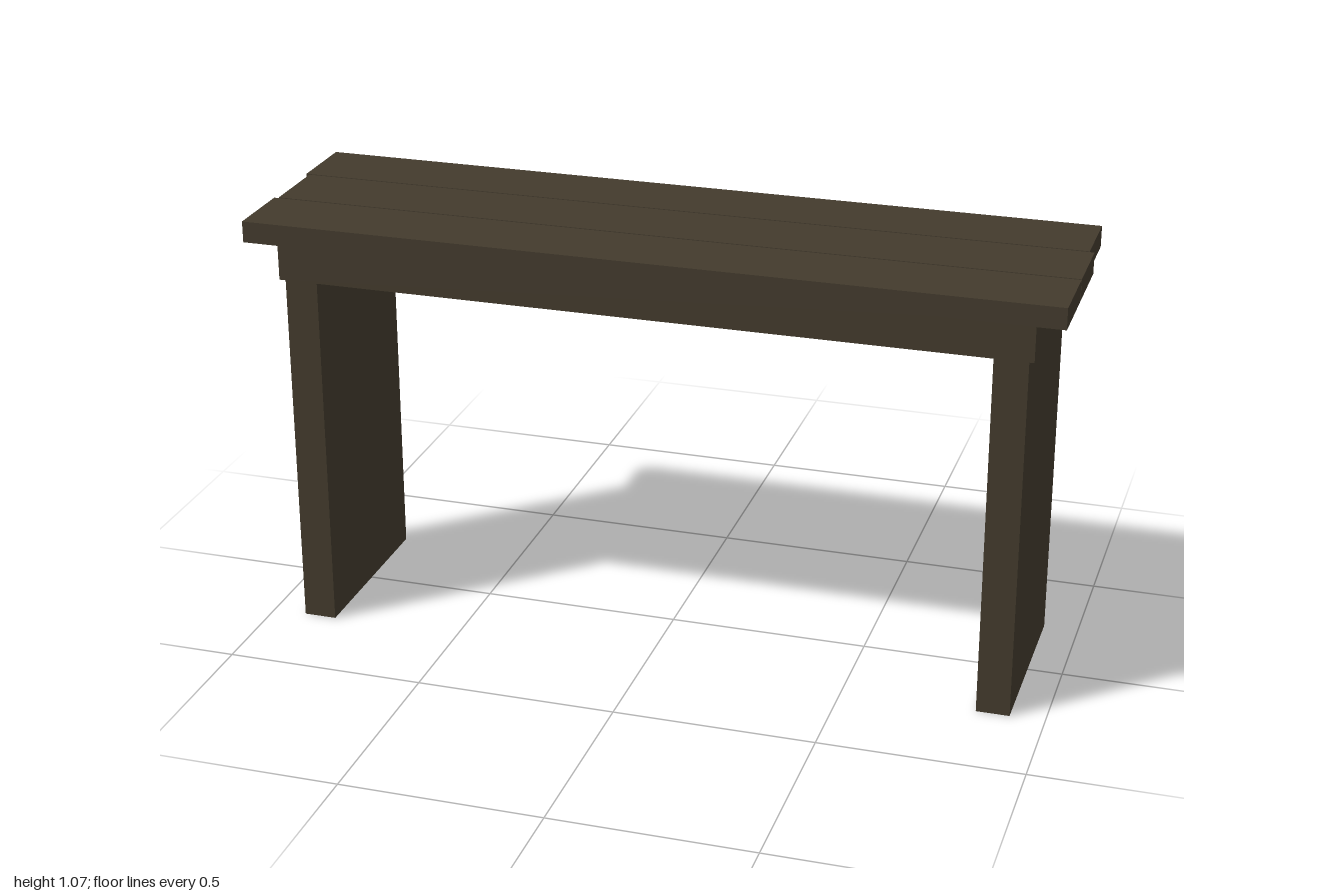
import * as THREE from 'three';

export function createModel() {
  const bench = new THREE.Group();
  bench.name = 'bench';
  const darkWood = new THREE.MeshStandardMaterial({ color: 0x433b2d });
  darkWood.name = 'dark wood';

  // A board given by its extents along x, y and z
  function board(name, [x0, x1], [y0, y1], [z0, z1]) {
    const mesh = new THREE.Mesh(new THREE.BoxGeometry(x1 - x0, y1 - y0, z1 - z0), darkWood);
    mesh.position.set((x0 + x1) / 2, (y0 + y1) / 2, (z0 + z1) / 2);
    mesh.name = name;
    bench.add(mesh);
  }

  // Seat: three planks with narrow gaps and slightly uneven ends
  const seatY = [1.017, 1.07];
  board('frontPlank', [-1, 1], seatY, [0.099, 0.285]);
  board('middlePlank', [-0.99, 1], seatY, [-0.092, 0.094]);
  board('backPlank', [-1, 0.988], seatY, [-0.284, -0.097]);

  // Solid slab legs
  board('rightLeg', [-0.914, -0.832], [0, 1.015], [-0.241, 0.243]);
  board('leftLeg', [0.832, 0.914], [0, 1.015], [-0.241, 0.243]);

  // Rail let into the front edges of the legs
  board('frontRail', [-0.927, 0.927], [0.916, 1.016], [0.224, 0.25]);

  return bench;
}
